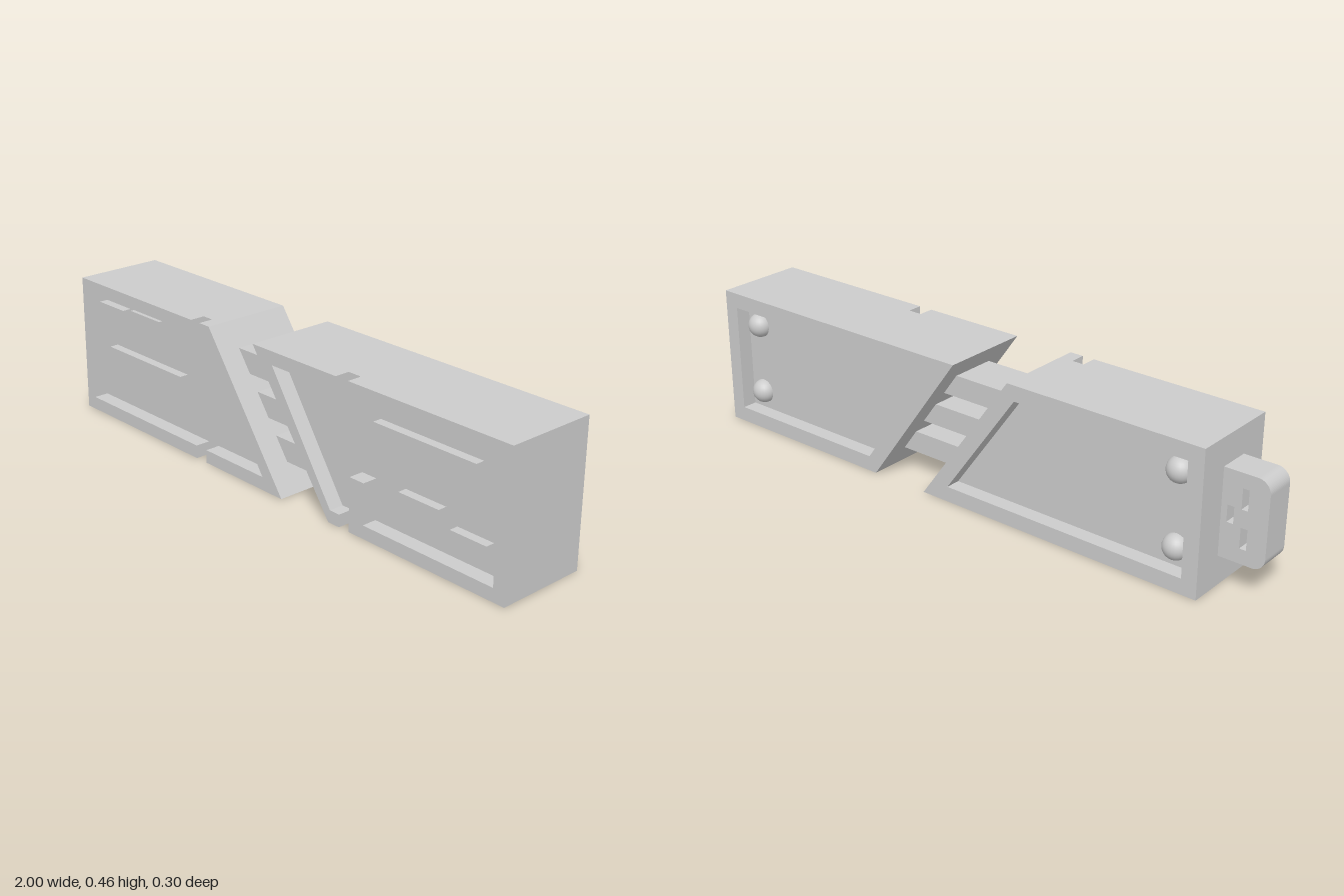
import * as THREE from 'three';

const H = 0.457;   // body height
const CX = 0.0725; // the two halves are half-turn copies about this x
const material = new THREE.MeshStandardMaterial({ color: 0xcccccc, flatShading: true });
const smooth = new THREE.MeshStandardMaterial({ color: 0xcccccc });

const shapeOf = (pts) => new THREE.Shape(pts.map(([x, y]) => new THREE.Vector2(x, y)));
const rectPts = (x0, y0, x1, y1) => [[x0, y0], [x1, y0], [x1, y1], [x0, y1]];

// Flat plate of a given outline between two depths
function plate(name, shape, z0, z1) {
  const geo = new THREE.ExtrudeGeometry(shape, { depth: z1 - z0, bevelEnabled: false, curveSegments: 8 });
  geo.translate(0, 0, z0);
  const mesh = new THREE.Mesh(geo, material);
  mesh.name = name;
  return mesh;
}

// One slanted half: core slab, notched front rim with chips, back rim with studs
function createHalf(name, chipDx, chipDy) {
  const half = new THREE.Group();
  half.name = name;
  const outline = [[-0.855, 0], [0.135, 0], [-0.193, H], [-0.855, H]];
  half.add(plate('core', shapeOf(outline), -0.1, 0.1));

  // Front rim in two pieces, separated by the notches
  half.add(plate('frontRimOuter', shapeOf([
    [-0.855, 0], [-0.265, 0], [-0.265, 0.043], [-0.815, 0.043], [-0.815, 0.415],
    [-0.334, 0.415], [-0.334, 0.285], [-0.278, 0.285], [-0.278, H], [-0.855, H],
  ]), 0.1, 0.15));
  half.add(plate('frontRimSlanted', shapeOf([
    [-0.217, 0], [0.135, 0], [-0.193, H], [-0.238, H],
    [-0.238, 0.417], [-0.2, 0.417], [0.05, 0.043], [-0.217, 0.043],
  ]), 0.1, 0.15));

  // Back rim, unbroken
  const back = shapeOf(outline);
  back.holes.push(shapeOf([[-0.805, 0.05], [0.037, 0.05], [-0.219, H - 0.05], [-0.805, H - 0.05]]));
  half.add(plate('backRim', back, -0.15, -0.1));

  // Raised chips on the front floor
  const chips = [
    [-0.789, 0.326, -0.66, 0.385],
    [-0.618, 0.283, -0.468, 0.396],
    [-0.741, 0.107, -0.366, 0.24],
  ];
  for (const [x0, y0, x1, y1] of chips) {
    half.add(plate('chip', shapeOf(rectPts(x0 + chipDx, y0 + chipDy, x1 + chipDx, y1 + chipDy)), 0.1, 0.13));
  }

  // Round studs on the back floor
  for (const side of [-1, 1]) {
    const stud = new THREE.Mesh(new THREE.SphereGeometry(0.04, 24, 16), smooth);
    stud.name = 'stud';
    stud.position.set(-0.752, H / 2 + side * 0.118, -0.1);
    half.add(stud);
  }
  return half;
}

// Rounded connector tab with three slots cut through
function createPlug() {
  const x0 = -1, x1 = -0.855, y0 = 0.096, y1 = 0.368, r = 0.04;
  const s = new THREE.Shape();
  s.moveTo(x1, y0);
  s.lineTo(x1, y1);
  s.lineTo(x0 + r, y1);
  s.absarc(x0 + r, y1 - r, r, Math.PI / 2, Math.PI, false);
  s.lineTo(x0, y0 + r);
  s.absarc(x0 + r, y0 + r, r, Math.PI, Math.PI * 1.5, false);
  s.closePath();
  const slots = [
    [-0.937, 0.26, -0.917, 0.323],
    [-0.895, 0.208, -0.874, 0.26],
    [-0.94, 0.142, -0.919, 0.205],
  ];
  for (const slot of slots) s.holes.push(shapeOf(rectPts(...slot)));
  return plate('plug', s, -0.05, 0.05);
}

export function createModel() {
  const model = new THREE.Group();
  model.name = 'splitDrive';

  model.add(createHalf('rightHalf', 0, 0));
  const left = createHalf('leftHalf', 0.02, -0.006);
  left.rotation.z = Math.PI;
  left.position.set(2 * CX, H, 0);
  model.add(left);
  model.add(createPlug());

  // Bars bridging the slanted gap, ends buried in both cores
  for (const y of [0.35, 0.232, 0.115]) {
    const bar = new THREE.Mesh(new THREE.BoxGeometry(0.28, 0.07, 0.15), material);
    bar.name = 'bridgeBar';
    bar.position.set(CX - (y - H / 2) * 0.718, y, 0);
    model.add(bar);
  }
  return model;
}
